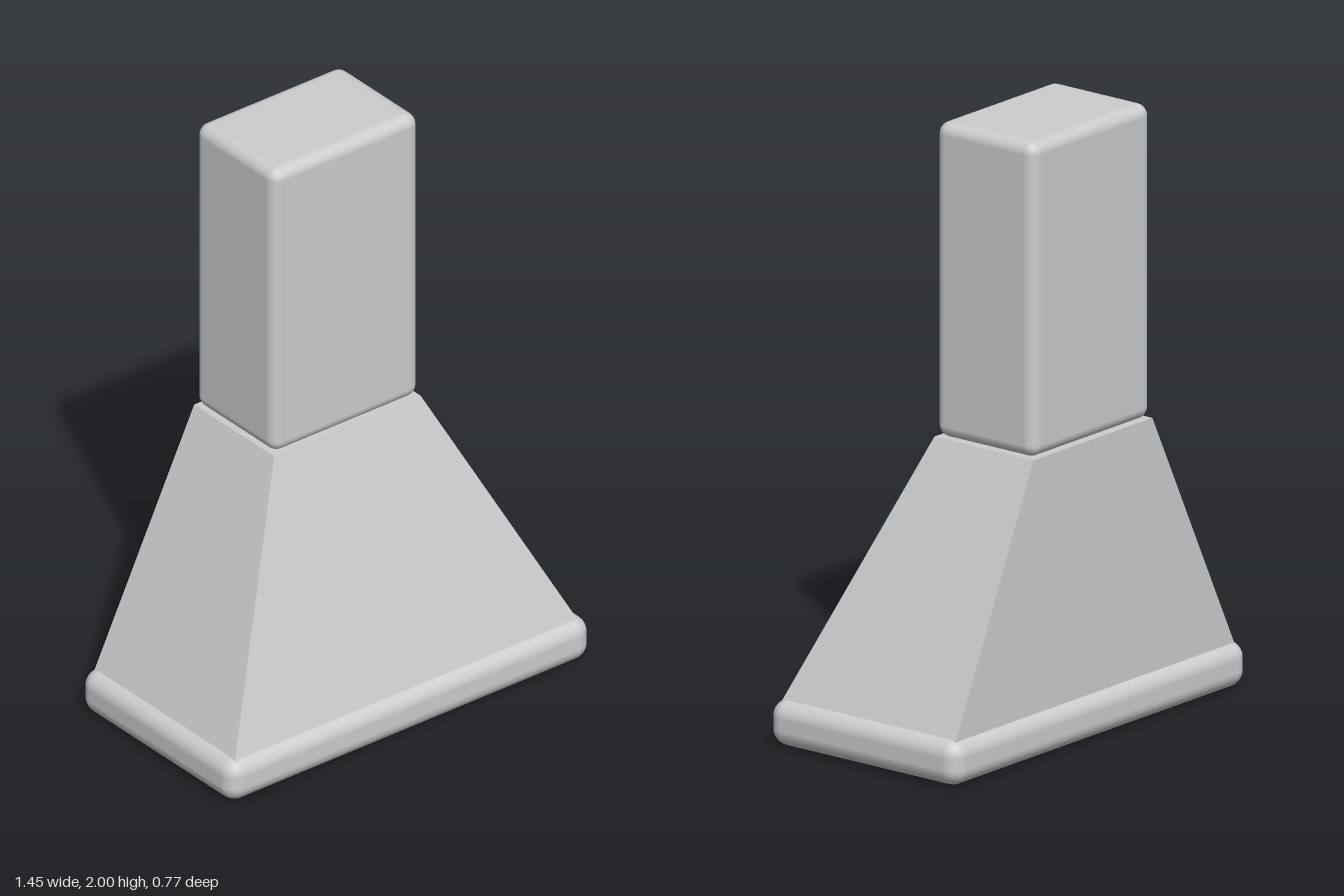
import * as THREE from 'three';
import { RoundedBoxGeometry } from 'three/addons/geometries/RoundedBoxGeometry.js';

// Box spanning two corners, with rounded edges
function roundedPart(name, min, max, radius, material) {
  const size = max.map((v, i) => v - min[i]);
  const mesh = new THREE.Mesh(new RoundedBoxGeometry(...size, 3, radius), material);
  mesh.position.set(...max.map((v, i) => (v + min[i]) / 2));
  mesh.name = name;
  return mesh;
}

// Flat-sided box whose top and bottom rectangles differ
function taperedPart(name, bottom, top, material) {
  const geometry = new THREE.BoxGeometry(1, 1, 1);
  const p = geometry.attributes.position;
  for (let i = 0; i < p.count; i++) {
    const ring = p.getY(i) > 0 ? top : bottom;
    p.setXYZ(i, Math.sign(p.getX(i)) * ring.halfWidth, ring.y, p.getZ(i) > 0 ? ring.front : ring.back);
  }
  geometry.computeVertexNormals();
  const mesh = new THREE.Mesh(geometry, material);
  mesh.name = name;
  return mesh;
}

export function createModel() {
  const steel = new THREE.MeshStandardMaterial({ color: 0xcccccc });
  steel.name = 'brushed steel';

  const hood = new THREE.Group();
  hood.name = 'rangeHood';

  // Rounded rim at the bottom
  hood.add(roundedPart('baseRim', [-0.725, 0, -0.383], [0.725, 0.15, 0.383], 0.055, steel));

  // Sloping canopy with a nearly upright back
  hood.add(taperedPart('canopy',
    { y: 0.14, halfWidth: 0.687, front: 0.352, back: -0.352 },
    { y: 0.97, halfWidth: 0.293, front: 0.057, back: -0.343 }, steel));

  // Chimney duct standing on the canopy
  hood.add(roundedPart('chimney', [-0.293, 0.97, -0.343], [0.293, 2, 0.057], 0.04, steel));

  return hood;
}
